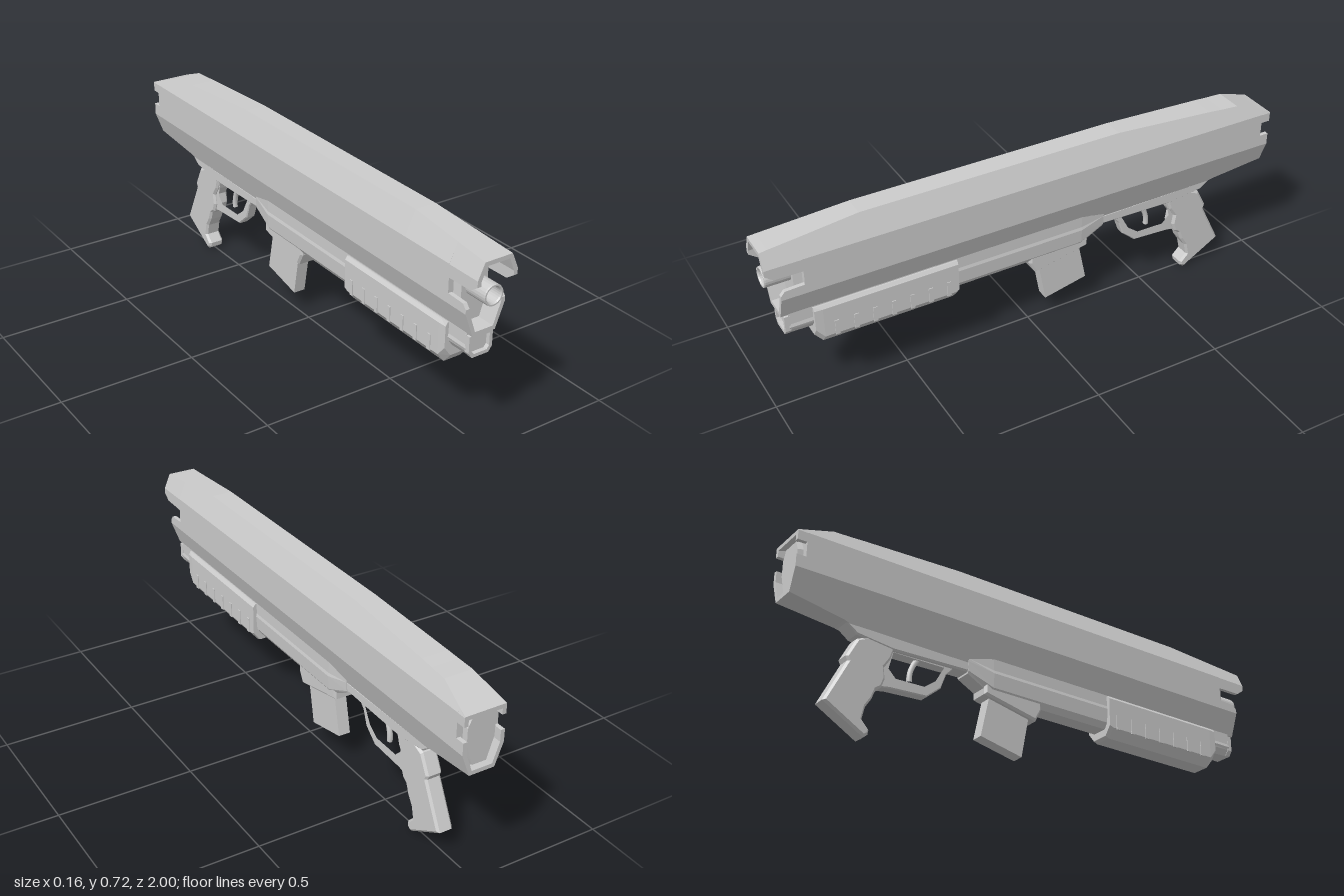
import * as THREE from 'three';

const mat = new THREE.MeshStandardMaterial({ color: 0xcccccc, flatShading: true });
const smoothMat = new THREE.MeshStandardMaterial({ color: 0xcccccc });

// Full outline from right-hand points listed bottom to top
const mirror = (pts) => [...pts, ...pts.map(([x, y]) => [-x, y]).reverse()];

// Joins [z, outline] sections (front to back) and caps both ends
function loft(name, sections) {
  const n = sections[0][1].length, pos = [];
  const p = (s, j) => [sections[s][1][j % n][0], sections[s][1][j % n][1], sections[s][0]];
  const tri = (...v) => v.forEach((q) => pos.push(...q));
  for (let s = 0; s < sections.length - 1; s++) {
    for (let j = 0; j < n; j++) {
      tri(p(s + 1, j), p(s + 1, j + 1), p(s, j + 1));
      tri(p(s + 1, j), p(s, j + 1), p(s, j));
    }
  }
  const last = sections.length - 1;
  for (const s of [0, last]) {
    const contour = sections[s][1].map(([x, y]) => new THREE.Vector2(x, y));
    for (const [a, b, c] of THREE.ShapeUtils.triangulateShape(contour, [])) {
      if (s === 0) tri(p(s, a), p(s, b), p(s, c));
      else tri(p(s, a), p(s, c), p(s, b));
    }
  }
  const geo = new THREE.BufferGeometry();
  geo.setAttribute('position', new THREE.Float32BufferAttribute(pos, 3));
  geo.computeVertexNormals();
  const mesh = new THREE.Mesh(geo, mat);
  mesh.name = name;
  return mesh;
}

// Side profile of [z, y] points, extruded across x with a chamfer
function plate(name, pts, halfWidth, bevel = 0, hole = null) {
  const v = (list) => list.map(([z, y]) => new THREE.Vector2(z, y));
  const shape = new THREE.Shape(v(pts));
  if (hole) shape.holes.push(new THREE.Path(v(hole)));
  const depth = 2 * (halfWidth - bevel);
  const geo = new THREE.ExtrudeGeometry(shape, {
    depth, bevelEnabled: bevel > 0, bevelSegments: 1,
    bevelThickness: bevel, bevelSize: bevel, bevelOffset: -bevel,
  });
  geo.translate(0, 0, -depth / 2).rotateY(-Math.PI / 2);
  const mesh = new THREE.Mesh(geo, mat);
  mesh.name = name;
  return mesh;
}

// Half-width of the body's sloping upper and lower facets at height y
const topW = (y) => 0.078 - (y - 0.635) * 0.45;
const lowW = (y) => 0.078 - (0.5 - y) * 0.37;
const bodyRing = (bottom, top) => mirror([
  [lowW(bottom), bottom], [0.078, 0.5], [0.078, 0.635], [topW(top), top],
]);

// Hollow end shells: an arch above the side notch and a trough below it
const T = 0.015;
const arch = (edge, top) => [
  ...mirror([[0.078, edge], [0.078, 0.634], [topW(top), top]]),
  ...mirror([[0.078 - T, edge], [0.078 - T, 0.628], [topW(top) - 0.009, top - T]]).reverse(),
];
const trough = (edge, bottom) => [
  ...mirror([[0.078, edge], [0.078, 0.5], [lowW(bottom), bottom]]).reverse(),
  ...mirror([[0.078 - T, edge], [0.078 - T, 0.503], [lowW(bottom) - 0.009, bottom + T]]),
];

export function createModel() {
  const g = new THREE.Group();
  g.name = 'rifle';

  // Main body and its hollow ends
  g.add(loft('body', [
    [0.87, bodyRing(0.41, 0.701)], [0.65, bodyRing(0.41, 0.72)],
    [-0.24, bodyRing(0.405, 0.72)], [-0.3, bodyRing(0.375, 0.72)],
    [-0.35, bodyRing(0.372, 0.72)], [-0.74, bodyRing(0.372, 0.698)],
    [-0.79, bodyRing(0.388, 0.694)], [-0.86, bodyRing(0.398, 0.69)],
    [-0.965, bodyRing(0.413, 0.65)],
  ]));
  g.add(loft('frontHood', [[1, arch(0.612, 0.69)], [0.97, arch(0.59, 0.693)], [0.87, arch(0.588, 0.701)]]));
  g.add(loft('frontTrough', [[0.955, trough(0.515, 0.41)], [0.94, trough(0.532, 0.41)], [0.87, trough(0.535, 0.41)]]));
  g.add(loft('rearHood', [[-0.965, arch(0.6, 0.65)], [-1, arch(0.6, 0.637)]]));
  g.add(loft('rearTrough', [[-0.965, trough(0.545, 0.413)], [-1, trough(0.545, 0.418)]]));

  // Recessed plates at both ends
  const innerRing = (w, bottom, top) => mirror([
    [w * 0.5, bottom], [w, bottom + 0.08], [w, top - 0.035], [w * 0.68, top],
  ]);
  g.add(loft('muzzlePlate', [[0.9, innerRing(0.052, 0.435, 0.662)], [0.86, innerRing(0.06, 0.425, 0.675)]]));
  g.add(loft('buttPlate', [[-0.95, innerRing(0.056, 0.437, 0.62)], [-0.985, innerRing(0.052, 0.442, 0.615)]]));

  // Open barrel with a recessed bore
  const bore = new THREE.LatheGeometry(
    [[0, 0.04], [0.028, 0.04], [0.028, 0.115], [0.031, 0.12], [0.036, 0.12], [0.037, 0.115], [0.037, 0]]
      .reverse().map(([r, y]) => new THREE.Vector2(r, y)), 24);
  const barrel = new THREE.Mesh(bore.toNonIndexed(), mat);
  bore.dispose();
  barrel.geometry.computeVertexNormals();
  barrel.name = 'barrel';
  barrel.rotation.x = Math.PI / 2;
  barrel.position.set(0, 0.558, 0.87);
  g.add(barrel);

  // Lower rail with a framed nose
  const railRing = (b) => mirror([[0.03, b], [0.045, b + 0.022], [0.049, 0.358], [0.046, 0.37], [0.046, 0.415]]);
  g.add(loft('lowerRail', [
    [0.93, railRing(0.325)], [0.75, railRing(0.32)], [0.6, railRing(0.282)],
    [-0.2, railRing(0.282)], [-0.3, mirror([[0.03, 0.335], [0.035, 0.345], [0.037, 0.38], [0.037, 0.39], [0.037, 0.41]])],
  ]));
  const nose = new THREE.Shape(mirror([[0.033, 0.326], [0.047, 0.345], [0.047, 0.405]]).map(([x, y]) => new THREE.Vector2(x, y)));
  nose.holes.push(new THREE.Path(mirror([[0.026, 0.338], [0.035, 0.35], [0.035, 0.396]]).map(([x, y]) => new THREE.Vector2(x, y))));
  const noseFrame = new THREE.Mesh(new THREE.ExtrudeGeometry(nose, { depth: 0.02, bevelEnabled: false }), mat);
  noseFrame.name = 'noseFrame';
  noseFrame.position.z = 0.925;
  g.add(noseFrame);

  // Handguard with side ribs
  const guardRing = (b, w = 0.061) => mirror([[0.034, b], [w, b + 0.035], [w, 0.398], [0.052, 0.41]]);
  g.add(loft('handguard', [
    [0.845, guardRing(0.285, 0.059)], [0.815, guardRing(0.248)],
    [0.325, guardRing(0.248)], [0.31, guardRing(0.255)],
  ]));
  for (const side of [-1, 1]) {
    for (let i = 0; i < 7; i++) {
      const rib = new THREE.Mesh(new THREE.BoxGeometry(0.006, 0.058, 0.016), mat);
      rib.name = 'handguardRib';
      rib.position.set(side * 0.061, 0.308, 0.77 - i * 0.07);
      g.add(rib);
    }
  }

  // Magazine well and tilted magazine
  g.add(plate('magazineWell', [
    [0.012, 0.31], [0.012, 0.275], [-0.012, 0.228], [-0.2, 0.268], [-0.232, 0.275], [-0.232, 0.325], [-0.2, 0.345],
  ], 0.041, 0.008));
  g.add(plate('magazine', [[-0.03, 0.26], [-0.063, 0.083], [-0.236, 0.12], [-0.2, 0.29]], 0.023));

  // Receiver plate, trigger guard and trigger
  g.add(plate('receiverPlate', [[-0.28, 0.38], [-0.3, 0.342], [-0.6, 0.335], [-0.74, 0.352], [-0.78, 0.385]], 0.034, 0.006));
  g.add(plate('triggerGuard', [
    [-0.35, 0.345], [-0.38, 0.31], [-0.4, 0.255], [-0.455, 0.208], [-0.6, 0.2],
    [-0.66, 0.19], [-0.66, 0.345],
  ], 0.02, 0.004, [
    [-0.385, 0.338], [-0.42, 0.272], [-0.465, 0.238], [-0.58, 0.236], [-0.612, 0.268], [-0.595, 0.338],
  ]));
  const trigger = new THREE.Mesh(new THREE.TubeGeometry(new THREE.QuadraticBezierCurve3(
    new THREE.Vector3(0, 0.345, -0.485), new THREE.Vector3(0, 0.3, -0.52), new THREE.Vector3(0, 0.252, -0.515),
  ), 8, 0.01, 8), smoothMat);
  trigger.name = 'trigger';
  g.add(trigger);

  // Pistol grip
  g.add(plate('grip', [
    [-0.59, 0.35], [-0.605, 0.3], [-0.628, 0.265], [-0.622, 0.225], [-0.635, 0.19], [-0.655, 0.175],
    [-0.668, 0.14], [-0.69, 0.105], [-0.7, 0.06], [-0.672, 0.03], [-0.675, 0.012], [-0.692, 0],
    [-0.845, 0.09], [-0.765, 0.252], [-0.772, 0.268], [-0.735, 0.34], [-0.69, 0.36],
  ], 0.031, 0.008));

  return g;
}
